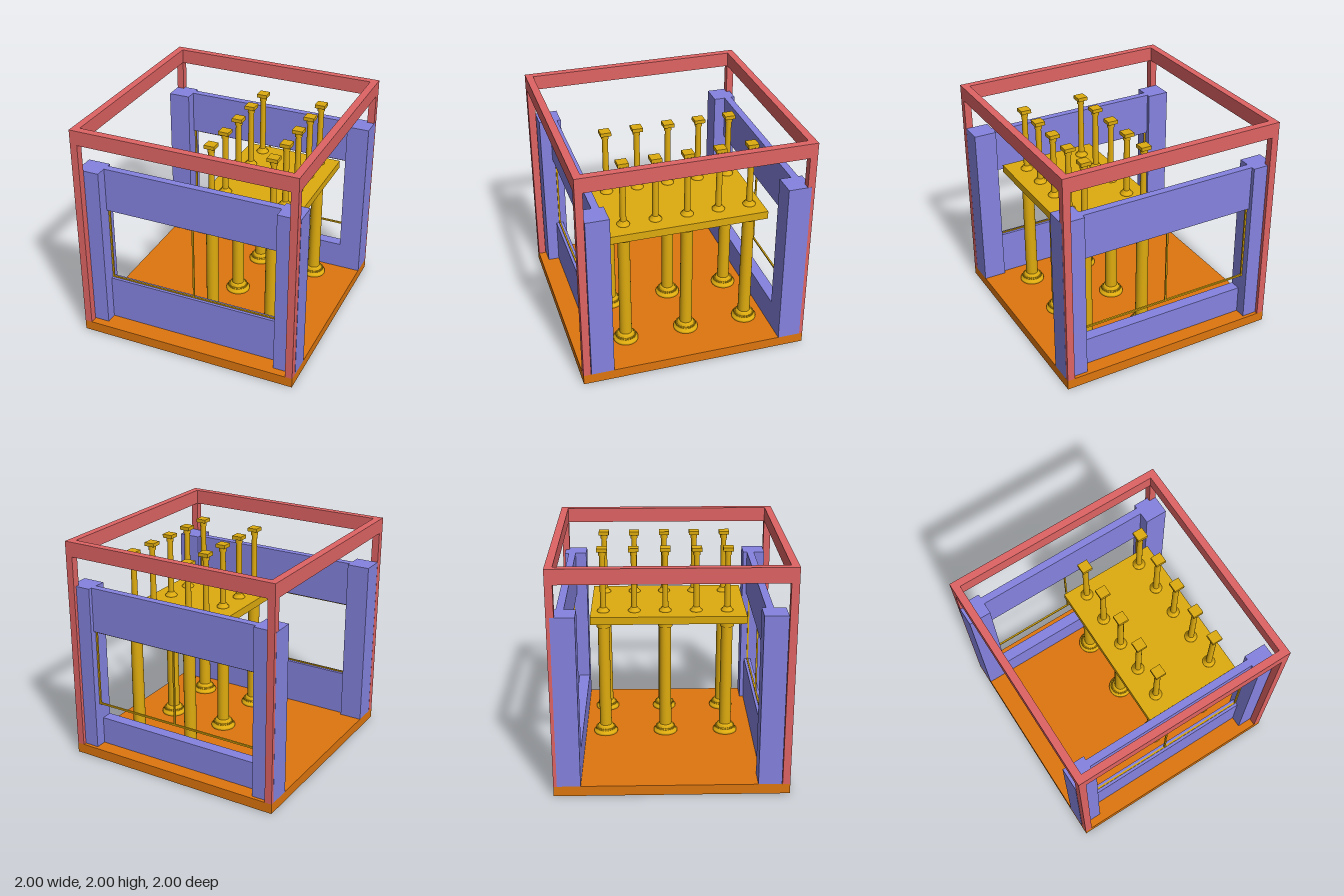
import * as THREE from 'three';

const material = (color, side = THREE.FrontSide) => new THREE.MeshStandardMaterial({ color, side });

export function createModel() {
  const model = new THREE.Group();
  model.name = 'pavilion';
  const red = material(0xe06464);
  const violet = material(0x8583e0);
  const orange = material(0xde760e);
  const gold = material(0xdeab0e);
  const goldLathe = material(0xdeab0e, THREE.DoubleSide);

  // Box given by its lower and upper limits on each axis
  function box(parent, name, mat, [x0, x1], [y0, y1], [z0, z1]) {
    const mesh = new THREE.Mesh(new THREE.BoxGeometry(x1 - x0, y1 - y0, z1 - z0), mat);
    mesh.position.set((x0 + x1) / 2, (y0 + y1) / 2, (z0 + z1) / 2);
    mesh.name = name;
    parent.add(mesh);
    return mesh;
  }

  // Turned part: each profile segment has its own normals, so steps stay sharp
  function turned(parent, name, profile) {
    const points = profile.map(([r, y]) => new THREE.Vector2(r, y));
    const mesh = new THREE.Mesh(new THREE.LatheGeometry(points, 32), goldLathe);
    mesh.name = name;
    parent.add(mesh);
  }

  function cylinder(parent, name, r0, r1, y0, y1) {
    const mesh = new THREE.Mesh(new THREE.CylinderGeometry(r1, r0, y1 - y0, 32), gold);
    mesh.position.y = (y0 + y1) / 2;
    mesh.name = name;
    parent.add(mesh);
  }

  // Ground slab
  box(model, 'floor', orange, [-1, 1], [0, 0.09], [-1, 1]);

  // Outer frame: four corner posts and a ring of top beams
  const frame = new THREE.Group();
  frame.name = 'outerFrame';
  model.add(frame);
  const inner = 0.935;
  for (const s of [-1, 1]) {
    const edge = s > 0 ? [inner, 1] : [-1, -inner];
    for (const depth of [[inner, 1], [-1, -inner]]) box(frame, 'cornerPost', red, edge, [0.09, 1.87], depth);
    box(frame, 'sideTopBeam', red, edge, [1.87, 2], [-1, 1]);
    box(frame, 'crossTopBeam', red, [-inner, inner], [1.87, 2], edge);
  }

  // Wall with two piers, upper and lower panels and a thin window frame
  function wall(name, offset, lowerDepth, lowerTop) {
    const group = new THREE.Group();
    group.name = name;
    group.position.z = offset;
    model.add(group);
    for (const span of [[-1.001, -0.8], [0.8, 1.001]]) box(group, 'pier', violet, span, [0.09, 1.6], [0.73, 0.93]);
    box(group, 'upperPanel', violet, [-0.8, 0.8], [1.2, 1.6], [0.765, 0.83]);
    box(group, 'lowerPanel', violet, [-0.8, 0.8], [0.09, lowerTop], lowerDepth);
    const depth = [0.79, 0.805];
    box(group, 'windowSill', gold, [-0.8, 0.8], [0.495, 0.51], depth);
    box(group, 'windowHead', gold, [-0.8, 0.8], [1.185, 1.2], depth);
    for (const x of [-0.793, 0, 0.793]) box(group, 'windowBar', gold, [x - 0.007, x + 0.007], [0.51, 1.185], depth);
  }
  wall('frontWall', 0, [0.765, 0.83], 0.5);
  wall('backWall', -1.7, [0.83, 0.93], 0.34);

  // Raised deck
  box(model, 'deck', gold, [-0.12, 0.77], [1.21, 1.28], [-0.7, 0.69]);

  // Thick lower column: stepped base with a ring of beads, shaft and drum capital
  function lowerColumn(x, z) {
    const column = new THREE.Group();
    column.name = 'lowerColumn';
    column.position.set(x, 0, z);
    model.add(column);
    turned(column, 'columnBase', [
      [0.108, 0.09], [0.11, 0.1], [0.108, 0.11], [0.096, 0.114], [0.096, 0.122], [0.086, 0.128],
      [0.082, 0.14], [0.076, 0.148], [0.072, 0.152], [0.07, 0.165], [0.054, 0.17],
    ]);
    for (let i = 0; i < 24; i++) {
      const angle = (i / 24) * Math.PI * 2;
      const bead = new THREE.Mesh(new THREE.BoxGeometry(0.012, 0.014, 0.012), gold);
      bead.position.set(Math.sin(angle) * 0.084, 0.137, Math.cos(angle) * 0.084);
      bead.rotation.y = angle;
      bead.name = 'baseBead';
      column.add(bead);
    }
    cylinder(column, 'columnShaft', 0.055, 0.052, 0.16, 1.14);
    cylinder(column, 'columnCapital', 0.064, 0.064, 1.135, 1.21);
  }

  // Slim upper column: small base, shaft, round neck and square cap
  function upperColumn(x, z) {
    const column = new THREE.Group();
    column.name = 'upperColumn';
    column.position.set(x, 0, z);
    model.add(column);
    turned(column, 'columnBase', [
      [0.054, 1.28], [0.055, 1.287], [0.052, 1.292], [0.044, 1.296], [0.041, 1.305], [0.035, 1.309],
      [0.034, 1.317], [0.026, 1.32],
    ]);
    cylinder(column, 'columnShaft', 0.027, 0.025, 1.31, 1.81);
    cylinder(column, 'columnNeck', 0.032, 0.032, 1.8, 1.84);
    box(column, 'columnCap', gold, [-0.046, 0.046], [1.838, 1.87], [-0.046, 0.046]);
  }

  for (const x of [0.05, 0.605]) {
    for (let i = -1; i <= 1; i++) lowerColumn(x, -0.033 + i * 0.556);
    for (let i = -2; i <= 2; i++) upperColumn(x, -0.033 + i * 0.278);
  }
  return model;
}
